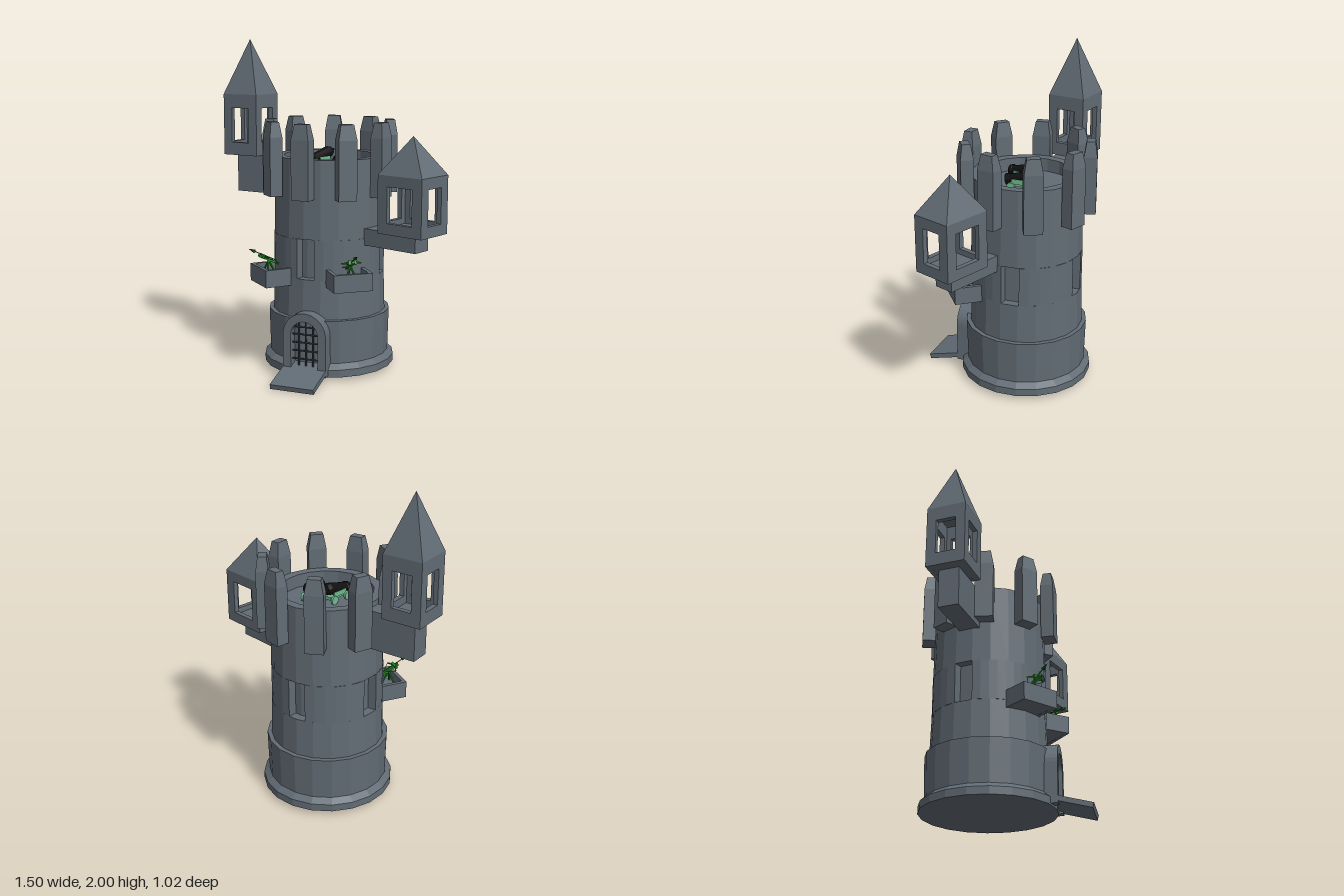
import * as THREE from 'three';

const mat = (color, extra = {}) => new THREE.MeshStandardMaterial({ color, flatShading: true, ...extra });
const stone = mat(0x626c75);
const iron = mat(0x3a4045);
const green = mat(0x1f8a1f);
const darkGreen = mat(0x126012);
const paleGreen = mat(0x6fb98f);
const black = mat(0x101010);
const rad = THREE.MathUtils.degToRad;

function add(parent, name, geo, material, x = 0, y = 0, z = 0) {
  const m = new THREE.Mesh(geo, material);
  m.name = name;
  m.position.set(x, y, z);
  parent.add(m);
  return m;
}
const box = (w, h, d) => new THREE.BoxGeometry(w, h, d);

// Group turned so its local +z points outward at the given compass angle
function spoke(parent, name, deg) {
  const g = new THREE.Group();
  g.name = name;
  g.rotation.y = rad(deg);
  parent.add(g);
  return g;
}

// Thin rod between two points
function rod(parent, name, a, b, r, material, r2 = r) {
  const p = new THREE.Vector3(...a), q = new THREE.Vector3(...b), d = q.clone().sub(p);
  const m = add(parent, name, new THREE.CylinderGeometry(r2, r, d.length(), 6), material);
  m.position.copy(p).add(q).multiplyScalar(0.5);
  m.quaternion.setFromUnitVectors(new THREE.Vector3(0, 1, 0), d.normalize());
  return m;
}

const lathe = pts => new THREE.LatheGeometry(pts.map(p => new THREE.Vector2(...p)), 20);

// Wall slab with a rectangular window; bottom at y = 0, centred on x and z
function windowWall(w, h, t, ww, y0, y1) {
  const s = new THREE.Shape([[-w / 2, 0], [w / 2, 0], [w / 2, h], [-w / 2, h]].map(p => new THREE.Vector2(...p)));
  s.holes.push(new THREE.Path([[-ww / 2, y0], [-ww / 2, y1], [ww / 2, y1], [ww / 2, y0]].map(p => new THREE.Vector2(...p))));
  return new THREE.ExtrudeGeometry(s, { depth: t, bevelEnabled: false }).translate(0, 0, -t / 2);
}

// Hanging turret: four windowed walls, floor, pyramid roof and supporting arm
function turret(parent, name, o) {
  const g = spoke(parent, name, o.deg), t = 0.03, h = o.top - o.base;
  const y0 = o.win[0] - o.base, y1 = o.win[1] - o.base;
  for (const s of [-1, 1]) {
    add(g, 'turretEndWall', windowWall(o.w, h, t, o.endWin, y0, y1), stone, 0, o.base, o.r + s * (o.d - t) / 2);
    add(g, 'turretSideWall', windowWall(o.d - 2 * t, h, t, o.sideWin, y0, y1), stone, s * (o.w - t) / 2, o.base, o.r).rotation.y = Math.PI / 2;
  }
  add(g, 'turretFloor', box(o.w - 0.002, 0.03, o.d - 0.002), stone, 0, o.base + 0.016, o.r);
  const roof = new THREE.ConeGeometry(Math.SQRT1_2, 1, 4).rotateY(Math.PI / 4).scale(o.w, o.apex - o.top, o.d);
  add(g, 'turretRoof', roof, stone, 0, (o.apex + o.top) / 2, o.r);
  add(g, 'turretArm', box(0.125, o.base - o.armBase, o.armEnd - 0.29), stone, 0, (o.base + o.armBase) / 2, (o.armEnd + 0.29) / 2);
}

// Bolt thrower on a tripod
function ballista(parent, y, r) {
  const g = new THREE.Group();
  g.name = 'ballista';
  g.position.set(0, y, r);
  parent.add(g);
  for (const [x, z] of [[-0.04, 0.025], [0.04, 0.025], [0, -0.05]]) rod(g, 'ballistaLeg', [x, 0, z], [0, 0.09, 0], 0.006, green);
  const top = new THREE.Group();
  top.name = 'ballistaTop';
  top.position.y = 0.095;
  top.rotation.x = -0.45;
  g.add(top);
  add(top, 'stock', box(0.018, 0.014, 0.14), green, 0, 0, 0);
  add(top, 'frontBlock', box(0.05, 0.026, 0.016), green, 0, 0.004, 0.045);
  for (const s of [-1, 1]) {
    rod(top, 'bowArm', [0, 0.006, 0.05], [s * 0.06, 0.006, 0.025], 0.007, green, 0.004);
    rod(top, 'bowString', [s * 0.06, 0.006, 0.025], [0, 0.012, -0.035], 0.0015, darkGreen);
    rod(top, 'crank', [0, 0, -0.05], [s * 0.03, 0, -0.05], 0.004, green);
  }
  rod(top, 'arrowShaft', [0, 0.013, -0.05], [0, 0.013, 0.11], 0.003, darkGreen);
  rod(top, 'arrowHead', [0, 0.013, 0.105], [0, 0.013, 0.15], 0.011, darkGreen, 0);
}

// Open tray balcony
function balcony(parent, deg, y0) {
  const g = spoke(parent, 'balcony', deg), w = 0.236, h = 0.105, t = 0.022, r0 = 0.3, r1 = 0.477;
  const mid = (r0 + r1) / 2, y = y0 + h / 2;
  add(g, 'balconyFloor', box(w - 0.002, 0.05, r1 - r0 - 0.002), stone, 0, y0 + 0.026, mid);
  add(g, 'balconyFront', box(w, h, t), stone, 0, y, r1 - t / 2);
  for (const s of [-1, 1]) add(g, 'balconySide', box(t, h, r1 - r0 - t), stone, s * (w - t) / 2, y, mid - t / 2);
  ballista(g, y0 + 0.05, 0.41);
}

// Wheeled cannon
function cannon(parent, x, z, deg) {
  const g = spoke(parent, 'cannon', deg);
  g.position.set(x, 1.23, z);
  add(g, 'carriage', box(0.05, 0.02, 0.15), paleGreen, 0, 0.035, 0);
  for (const s of [-1, 1]) {
    add(g, 'carriageCheek', box(0.01, 0.03, 0.1), paleGreen, s * 0.03, 0.055, 0);
    for (const wz of [-0.055, 0.055])
      add(g, 'wheel', new THREE.CylinderGeometry(0.026, 0.026, 0.014, 12).rotateZ(Math.PI / 2), paleGreen, s * 0.04, 0.026, wz);
  }
  const profile = [[0, -0.125], [0.007, -0.125], [0.007, -0.1], [0.027, -0.095], [0.036, -0.07],
    [0.031, 0.07], [0.036, 0.075], [0.036, 0.095], [0.02, 0.095], [0.02, 0.04], [0, 0.04]];
  const barrel = new THREE.LatheGeometry(profile.map(p => new THREE.Vector2(...p)), 14).rotateX(Math.PI / 2);
  add(g, 'barrel', barrel, black, 0, 0.075, 0).rotation.x = 0.22;
}

export function createModel() {
  const model = new THREE.Group();
  model.name = 'castleTower';
  const tower = new THREE.Group();
  tower.name = 'tower';
  tower.position.set(-0.04, 0, -0.105);
  model.add(tower);

  // Tower body: base, windowed band, upper wall with sunken deck
  add(tower, 'towerBase', lathe([[0, 0.03], [0.4, 0.03], [0.4, 0.075], [0.365, 0.105], [0.372, 0.365],
    [0.345, 0.365], [0.338, 0.6], [0.27, 0.6]]), stone);
  add(tower, 'towerTop', lathe([[0.27, 0.84], [0.337, 0.84], [0.33, 1.31], [0.275, 1.31], [0.275, 1.23], [0, 1.23]]), stone);
  add(tower, 'windowBack', new THREE.CylinderGeometry(0.285, 0.285, 0.25, 20), stone, 0, 0.72, 0);
  const windows = [-18, 62, 160, 261], half = 9.3;
  windows.forEach((w, i) => {
    const a = rad(w + half - 90), b = rad((i < 3 ? windows[i + 1] : windows[0] + 360) - half - 90);
    const s = new THREE.Shape();
    s.absarc(0, 0, 0.3375, a, b, false);
    s.absarc(0, 0, 0.27, b, a, true);
    const geo = new THREE.ExtrudeGeometry(s, { depth: 0.24, bevelEnabled: false, curveSegments: Math.round((b - a) / rad(18)) });
    add(tower, 'windowBand', geo.rotateX(Math.PI / 2), stone, 0, 0.84, 0);
  });

  // Nine merlons with tapered tops
  for (let i = 0; i < 9; i++) {
    const g = spoke(tower, 'merlon', 180 + i * 40);
    const geo = box(0.11, 0.44, 0.078, 1, 1, 1);
    const m = new THREE.BoxGeometry(0.11, 0.44, 0.078, 1, 2, 1), p = m.attributes.position;
    for (let k = 0; k < p.count; k++) {
      if (Math.abs(p.getY(k)) < 0.01) p.setY(k, 0.13);
      else if (p.getY(k) > 0) { p.setX(k, p.getX(k) * 0.7); p.setZ(k, p.getZ(k) * 0.65); }
    }
    geo.dispose();
    add(g, 'merlonBlock', m, stone, 0, 1.3, 0.37);
  }

  // Side turrets
  turret(tower, 'tallTurret', { deg: -76, r: 0.58, w: 0.237, d: 0.247, base: 1.28, top: 1.66, apex: 2,
    win: [1.36, 1.575], endWin: 0.12, sideWin: 0.125, armBase: 1.045, armEnd: 0.64 });
  turret(tower, 'lowTurret', { deg: 93.6, r: 0.631, w: 0.252, d: 0.309, base: 0.9, top: 1.24, apex: 1.46,
    win: [0.965, 1.175], endWin: 0.125, sideWin: 0.175, armBase: 0.8, armEnd: 0.7 });

  // Balconies with ballistas
  balcony(tower, -18, 0.552);
  balcony(tower, 62, 0.563);

  // Gate: arched frame, portcullis and lowered bridge
  const gate = spoke(tower, 'gate', 24);
  const arch = new THREE.Shape();
  arch.moveTo(-0.135, 0.04);
  arch.lineTo(-0.085, 0.04);
  arch.lineTo(-0.085, 0.28);
  arch.absarc(0, 0.28, 0.085, Math.PI, 0, true);
  arch.lineTo(0.085, 0.04);
  arch.lineTo(0.135, 0.04);
  arch.lineTo(0.135, 0.28);
  arch.absarc(0, 0.28, 0.135, 0, Math.PI, false);
  add(gate, 'gateFrame', new THREE.ExtrudeGeometry(arch, { depth: 0.115, bevelEnabled: false, curveSegments: 10 }), stone, 0, 0, 0.3);
  for (const x of [-0.045, 0, 0.045]) rod(gate, 'gateBar', [x, 0.07, 0.385], [x, 0.28 + Math.sqrt(0.0075 - x * x), 0.385], 0.005, iron);
  for (const y of [0.13, 0.18, 0.23, 0.28, 0.325]) rod(gate, 'gateCrossBar', [-0.086, y, 0.385], [0.086, y, 0.385], 0.005, iron);
  add(gate, 'drawbridge', box(0.27, 0.03, 0.262), stone, 0, 0.05, 0.48).rotation.x = 0.25;

  // Deck cannons
  cannon(tower, -0.022, 0.05, 7);
  cannon(tower, 0.08, -0.035, 27);
  return model;
}
